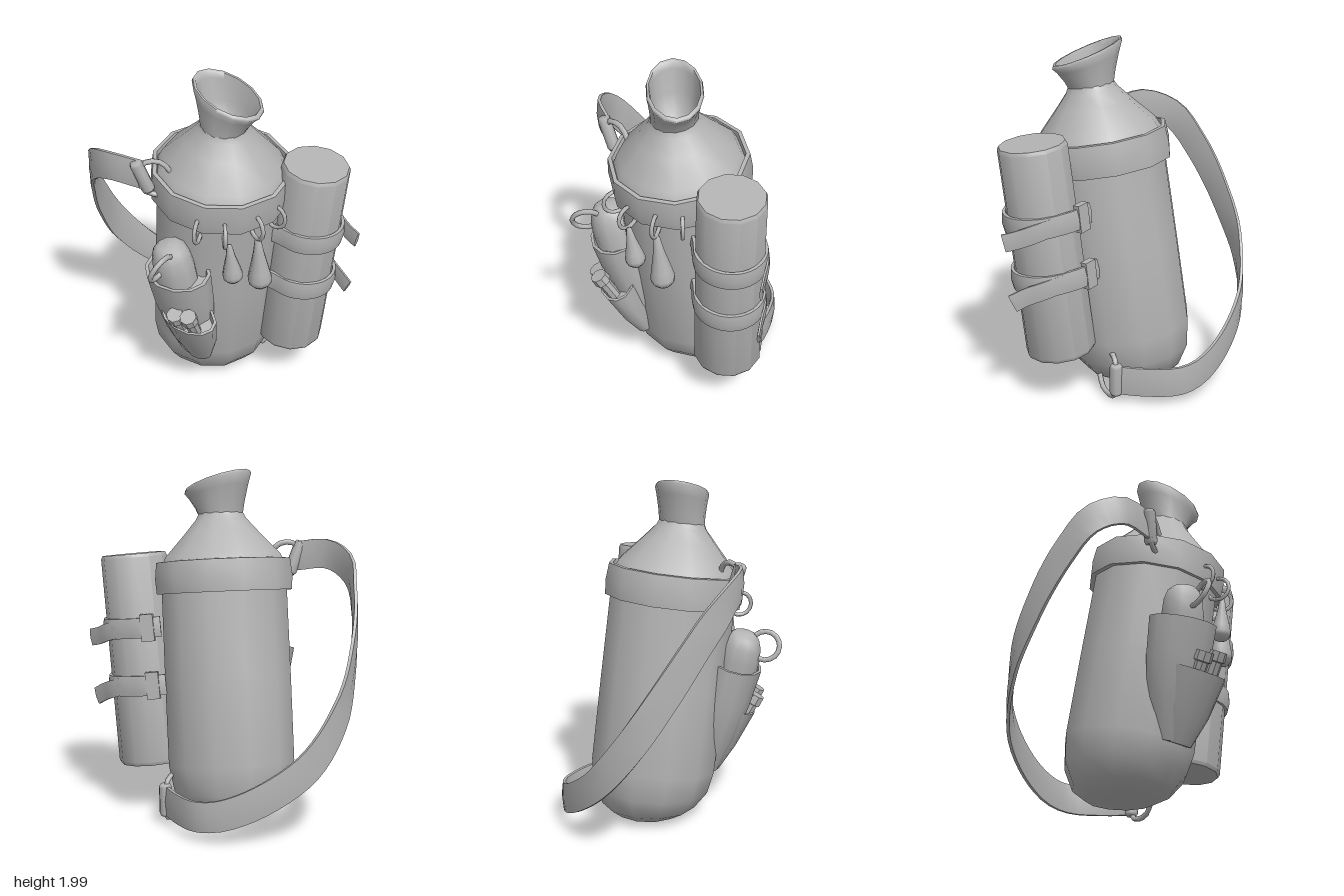
import * as THREE from 'three';
import { toCreasedNormals } from 'three/addons/utils/BufferGeometryUtils.js';

const V = (x, y, z) => new THREE.Vector3(x, y, z);
const UP = V(0, 1, 0);
const grey = new THREE.MeshStandardMaterial({ color: 0xb4b4b4, side: THREE.DoubleSide });
grey.name = 'plain grey';

export function createModel() {
  const root = new THREE.Group();
  root.name = 'flask';

  function add(name, geo, parent = root) {
    const m = new THREE.Mesh(geo, grey);
    m.name = name;
    parent.add(m);
    return m;
  }
  const lathe = (pts, sides = 12, start = 0.38) =>
    new THREE.LatheGeometry(pts.map(p => new THREE.Vector2(p[0], p[1])), sides, start);

  // Places a y-up mesh with its origin at "from", pointing to "to"
  function aim(mesh, from, to) {
    mesh.position.copy(from);
    mesh.quaternion.setFromUnitVectors(UP, to.clone().sub(from).normalize());
    return mesh;
  }
  // Moves each vertex by a rule, then smooths again
  function warp(geo, rule) {
    const p = geo.attributes.position;
    for (let i = 0; i < p.count; i++) {
      const v = V(p.getX(i), p.getY(i), p.getZ(i));
      rule(v);
      p.setXYZ(i, v.x, v.y, v.z);
    }
    return toCreasedNormals(geo, 1.2);
  }
  // Flat strap swept along a path, kept upright, with slightly domed faces
  function ribbon(name, pts, width, thick, steps, up = UP) {
    const curve = new THREE.CatmullRomCurve3(pts);
    const section = [[-1, -0.5], [0, -1], [1, -0.5], [1, 0.5], [0, 1], [-1, 0.5]];
    const pos = [], idx = [], s = section.length;
    for (let i = 0; i <= steps; i++) {
      const p = curve.getPointAt(i / steps), t = curve.getTangentAt(i / steps);
      const n = up.clone().cross(t).normalize();
      const w = t.clone().cross(n).normalize();
      for (const [a, b] of section) {
        const q = p.clone().addScaledVector(w, a * width / 2).addScaledVector(n, b * thick / 2);
        pos.push(q.x, q.y, q.z);
      }
      if (i < steps) for (let k = 0; k < s; k++) {
        const a = i * s + k, b = i * s + (k + 1) % s;
        idx.push(a, a + s, b, b, a + s, b + s);
      }
    }
    const e = steps * s;
    for (let k = 1; k < s - 1; k++) idx.push(0, k, k + 1, e, e + k + 1, e + k);
    const g = new THREE.BufferGeometry();
    g.setAttribute('position', new THREE.Float32BufferAttribute(pos, 3));
    g.setIndex(idx);
    return add(name, toCreasedNormals(g, 0.7));
  }
  const wire = (name, pts, r) =>
    add(name, new THREE.TubeGeometry(new THREE.CatmullRomCurve3(pts), 14, r, 6));

  // Leaning bottle: body, collar, shoulder and spout share one tilted axis
  const bottle = new THREE.Group();
  bottle.name = 'bottle';
  aim(bottle, V(0.13, 0.015, -0.078), V(0.025, 1.07, 0.047));
  root.add(bottle);
  // The underside is nearly levelled so that the bottle stands flat
  add('body', warp(lathe([[0, 0.005], [0.2, 0.01], [0.28, 0.06], [0.348, 0.17], [0.373, 0.31], [0.373, 0.8], [0.37, 1.36]]),
    v => { v.y -= (0.085 * v.x - 0.1 * v.z) * Math.max(0, 1 - v.y / 0.3); }), bottle);
  add('collar', toCreasedNormals(lathe([[0.365, 1.295], [0.4, 1.29], [0.406, 1.375], [0.396, 1.47],
    [0.373, 1.473], [0.365, 1.425]]), 0.7), bottle);
  add('shoulder', lathe([[0.375, 1.425], [0.34, 1.5], [0.22, 1.63], [0.15, 1.71], [0.132, 1.745]]), bottle);
  // The spout is stretched into an oval with a slanting mouth
  add('spout', warp(lathe([[0.132, 1.74], [0.135, 1.79], [0.146, 1.87], [0.155, 1.915], [0.15, 1.93],
    [0.138, 1.93], [0.132, 1.9], [0.12, 1.8], [0.1, 1.73], [0.06, 1.69], [0, 1.675]], 14), v => {
    const t = THREE.MathUtils.clamp((v.y - 1.74) / 0.18, 0, 1);
    v.x += 0.02 * t;
    v.z *= 1 + 0.38 * t;
    v.y -= 0.24 * v.z * t;
  }), bottle);

  // Scroll tube on the front
  const tubeLow = V(0.245, 0.288, 0.418), tubeTop = V(0.225, 1.505, 0.56);
  const axis = tubeTop.clone().sub(tubeLow);
  const len = axis.length();
  aim(add('scrollTube', toCreasedNormals(lathe([[0, 0], [0.188, 0], [0.198, 0.02], [0.192, len - 0.02],
    [0.182, len], [0, len]], 12, 0.1), 0.6)), tubeLow, tubeTop);
  axis.normalize();

  // Two straps holding the tube, each with buckles and a loose tail
  for (const [y, drop] of [[1.09, 0.08], [0.76, 0.1]]) {
    const c = tubeLow.clone().addScaledVector(axis, (y - tubeLow.y) / axis.y);
    const at = (x, z) => V(c.x + x, c.y - 0.113 * z, c.z + z);
    const path = [at(0.11, -0.235), at(0.17, -0.15)];
    for (let d = -15; d <= 195; d += 30) {
      const a = d * Math.PI / 180;
      path.push(at(0.197 * Math.cos(a), 0.203 * Math.sin(a)));
    }
    path.push(at(-0.195, -0.16), at(-0.18, -0.24));
    ribbon('tubeStrap', path, 0.115, 0.035, 30, axis);
    ribbon('strapTail', [at(0.185, -0.1), at(0.2, 0), V(c.x + 0.19, c.y - 0.03, c.z + 0.1),
      V(c.x + 0.16, c.y - 0.06, c.z + 0.18), V(c.x + 0.135, c.y - drop, c.z + 0.26)], 0.1, 0.022, 10, axis);
    for (const s of [-1, 1]) {
      const b = add('strapBuckle', new THREE.BoxGeometry(0.04, 0.155, 0.075));
      b.position.copy(at(s > 0 ? 0.155 : -0.2, -0.175));
      b.rotation.set(0.11, s > 0 ? 0.5 : -0.1, 0);
    }
  }

  // Carrying strap from the collar round the back to the base
  ribbon('carryingStrap', [V(-0.385, 1.48, -0.17), V(-0.435, 1.5, -0.36), V(-0.38, 1.43, -0.53),
    V(-0.26, 1.25, -0.64), V(-0.1, 0.99, -0.725), V(0.09, 0.7, -0.757), V(0.29, 0.44, -0.685), V(0.46, 0.27, -0.51),
    V(0.575, 0.17, -0.31), V(0.608, 0.145, -0.16), V(0.545, 0.14, 0.02), V(0.455, 0.14, 0.165)], 0.17, 0.035, 44);
  // Rolled strap ends and the rings that hold them
  const roll = h => lathe([[0, 0], [0.03, 0], [0.038, 0.015], [0.038, h - 0.015], [0.03, h], [0, h]], 8);
  aim(add('lowerStrapEnd', roll(0.185)), V(0.455, 0.05, 0.165), V(0.46, 0.24, 0.165));
  aim(add('upperStrapEnd', roll(0.2)), V(-0.36, 1.38, -0.15), V(-0.42, 1.58, -0.2));
  wire('lowerStrapRing', [V(0.26, 0.09, 0.19), V(0.31, 0.035, 0.19), V(0.38, 0.018, 0.18), V(0.445, 0.04, 0.17),
    V(0.455, 0.14, 0.165), V(0.44, 0.25, 0.165), V(0.39, 0.275, 0.165), V(0.34, 0.24, 0.16)], 0.016);
  wire('upperStrapRing', [V(-0.28, 1.38, -0.04), V(-0.29, 1.5, -0.06), V(-0.33, 1.56, -0.11), V(-0.39, 1.55, -0.17),
    V(-0.4, 1.46, -0.18), V(-0.38, 1.38, -0.16), V(-0.33, 1.35, -0.1)], 0.016);

  // Broad tapered pouch on the right with a corked bottle inside
  aim(add('pouch', toCreasedNormals(lathe([[0, 0], [0.07, 0], [0.12, 0.22], [0.147, 0.45], [0.157, 0.672],
    [0.14, 0.672], [0.13, 0.62], [0, 0.62]], 12), 0.7)), V(-0.205, 0.28, 0.035), V(-0.375, 0.94, 0.045)).scale.z = 1.3;
  aim(add('smallBottle', lathe([[0.12, 0], [0.122, 0.1], [0.112, 0.18], [0.09, 0.235], [0.06, 0.26],
    [0, 0.265]], 10)), V(-0.37, 0.87, 0.04), V(-0.425, 1.13, 0.02));
  const handle = add('bottleHandle', new THREE.TorusGeometry(0.083, 0.015, 6, 16));
  handle.position.set(-0.54, 1.04, 0.055);
  handle.rotation.x = 0.4;

  // Wide outer pocket with vials
  aim(add('pocket', toCreasedNormals(lathe([[0, 0], [0.055, 0], [0.09, 0.18], [0.112, 0.41], [0.1, 0.41],
    [0.09, 0.36], [0, 0.36]], 12), 0.7)), V(-0.225, 0.27, 0.08), V(-0.385, 0.66, 0.125)).scale.z = 1.6;
  for (const [x, y, z] of [[-0.49, 0.74, 0.2], [-0.495, 0.72, 0.11]]) {
    const tip = V(x, y, z), base = tip.clone().add(V(0.11, -0.2, -0.02));
    const h = tip.distanceTo(base);
    aim(add('vial', toCreasedNormals(lathe([[0, 0], [0.036, 0], [0.038, h - 0.06], [0.05, h - 0.055],
      [0.048, h], [0, h]], 8), 0.7)), base, tip);
  }

  // Rings hanging below the collar
  for (const [x, y, z] of [[-0.375, 1.25, 0.19], [-0.31, 1.235, 0.32], [-0.165, 1.25, 0.43], [-0.025, 1.26, 0.46]]) {
    const r = add('charmRing', new THREE.TorusGeometry(0.068, 0.012, 6, 14));
    r.position.set(x, y, z);
    r.rotation.y = -Math.atan2(z - 0.07, x);
  }
  // Teardrop charms
  for (const [low, tip, r] of [[V(-0.27, 0.92, 0.355), V(-0.31, 1.19, 0.35), 0.058],
    [V(-0.125, 0.835, 0.44), V(-0.165, 1.19, 0.44), 0.07]]) {
    const h = low.distanceTo(tip);
    aim(add('teardropCharm', lathe([[0, 0], [r * 0.6, r * 0.2], [r * 0.95, r * 0.6], [r, r], [r * 0.85, r * 1.7],
      [r * 0.45, h * 0.7], [r * 0.25, h * 0.96], [0, h]], 10)), low, tip);
  }
  return root;
}
